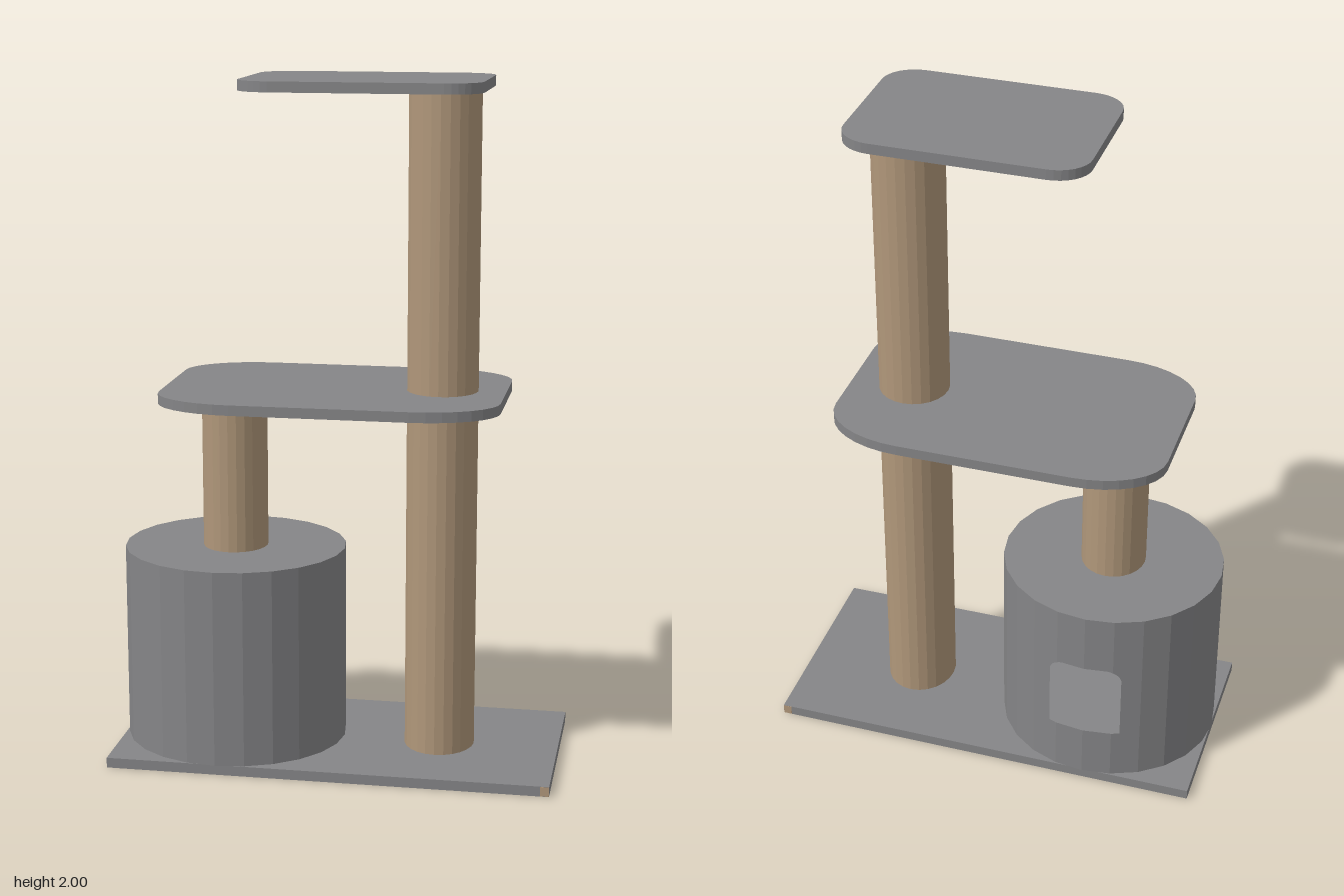
import * as THREE from 'three';

const SIDES = 24;

// Facet a geometry so every side reads flat
function faceted(geometry) {
  const g = geometry.index ? geometry.toNonIndexed() : geometry;
  g.computeVertexNormals();
  return g;
}

// Upright post with an elliptical section
function postGeometry(rx, rz, y0, y1) {
  const g = new THREE.CylinderGeometry(1, 1, y1 - y0, SIDES);
  g.scale(rx, 1, rz);
  g.translate(0, (y0 + y1) / 2, 0);
  return faceted(g);
}

// Horizontal board with elliptical corners
function boardGeometry(x0, x1, hz, cx, cz, y0, y1) {
  const s = new THREE.Shape();
  const corners = [[x1 - cx, hz - cz], [x0 + cx, hz - cz], [x0 + cx, cz - hz], [x1 - cx, cz - hz]];
  corners.forEach(([x, z], i) => {
    for (let k = 0; k <= 8; k++) {
      const a = (i + k / 8) * Math.PI / 2;
      const px = x + cx * Math.cos(a), pz = z + cz * Math.sin(a);
      if (i + k === 0) s.moveTo(px, pz); else s.lineTo(px, pz);
    }
  });
  const g = new THREE.ExtrudeGeometry(s, { depth: y1 - y0, bevelEnabled: false });
  g.rotateX(-Math.PI / 2);
  g.translate(0, y0, 0);
  return g;
}

// Hollow drum wall with a round-cornered doorway at the back
function drumWallGeometry(rx, rz, y0, y1) {
  const half = 0.11, sill = 0.19, head = 0.43, corner = 0.045;
  const step = Math.PI * 2 / SIDES;
  // angle 0 points to the back (-z); points lie on the straight facets
  const at = (a) => {
    const i = Math.floor(a / step + 1e-6), f = a / step - i;
    const lerp = (fn) => fn(i * step) * (1 - f) + fn((i + 1) * step) * f;
    return [rx * lerp(Math.sin), -rz * lerp(Math.cos)];
  };
  const edge = Math.asin(half / rx);
  const angles = [];
  for (let i = -SIDES / 2; i <= SIDES / 2; i++) angles.push(i * step);
  for (const f of [0.62, 0.7, 0.85, 0.93, 0.97, 1]) angles.push(-edge * f, edge * f);
  angles.sort((a, b) => a - b);
  const top = (x) => {
    const d = Math.max(0, Math.abs(x) - (half - corner));
    return head - corner + Math.sqrt(Math.max(0, corner * corner - d * d));
  };
  const p = [];
  const quad = (A, B, a0, a1, b0, b1) => {
    p.push(A[0], a0, A[1], A[0], a1, A[1], B[0], b1, B[1]);
    p.push(A[0], a0, A[1], B[0], b1, B[1], B[0], b0, B[1]);
  };
  for (let i = 0; i + 1 < angles.length; i++) {
    const A = at(angles[i]), B = at(angles[i + 1]);
    if (Math.abs(angles[i] + angles[i + 1]) / 2 < edge) {
      quad(A, B, y0, sill, y0, sill);
      quad(A, B, top(A[0]), y1, top(B[0]), y1);
    } else quad(A, B, y0, y1, y0, y1);
  }
  const g = new THREE.BufferGeometry();
  g.setAttribute('position', new THREE.Float32BufferAttribute(p, 3));
  g.computeVertexNormals();
  return g;
}

export function createModel() {
  const group = new THREE.Group();
  const grey = new THREE.MeshStandardMaterial({ color: 0x858587, side: THREE.DoubleSide });
  grey.name = 'grey plush';
  const tan = new THREE.MeshStandardMaterial({ color: 0xb0977a });
  tan.name = 'tan sisal';
  const add = (name, geometry, material, x = 0, y = 0, z = 0) => {
    const m = new THREE.Mesh(geometry, material);
    m.name = name;
    m.position.set(x, y, z);
    group.add(m);
  };

  // Base board with a tan end strip on its long edges
  add('base', new THREE.BoxGeometry(1.3, 0.03, 0.62), grey, 0, 0.015, 0);
  for (const s of [-1, 1]) {
    add('baseEndStrip', new THREE.BoxGeometry(0.025, 0.028, 0.002), tan, 0.637, 0.015, s * 0.31);
  }

  // Hollow drum house
  const dx = -0.323, rx = 0.33, rz = 0.316;
  add('drumWall', drumWallGeometry(rx, rz, 0.03, 0.615), grey, dx);
  const lid = new THREE.CircleGeometry(1, SIDES);
  lid.rotateX(-Math.PI / 2);
  lid.scale(rx, 1, rz);
  add('drumLid', lid, grey, dx, 0.615, 0);

  // Posts
  add('shortPost', postGeometry(0.096, 0.102, 0.615, 1.08), tan, -0.323);
  add('lowerPost', postGeometry(0.104, 0.12, 0.03, 1.072), tan, 0.295);
  add('upperPost', postGeometry(0.104, 0.105, 1.072, 1.972), tan, 0.295);

  // Platforms
  add('middlePlatform', boardGeometry(-0.51, 0.48, 0.317, 0.24, 0.155, 1.076, 1.106), grey);
  add('topPlatform', boardGeometry(-0.27, 0.42, 0.238, 0.1, 0.088, 1.97, 2), grey);
  return group;
}
